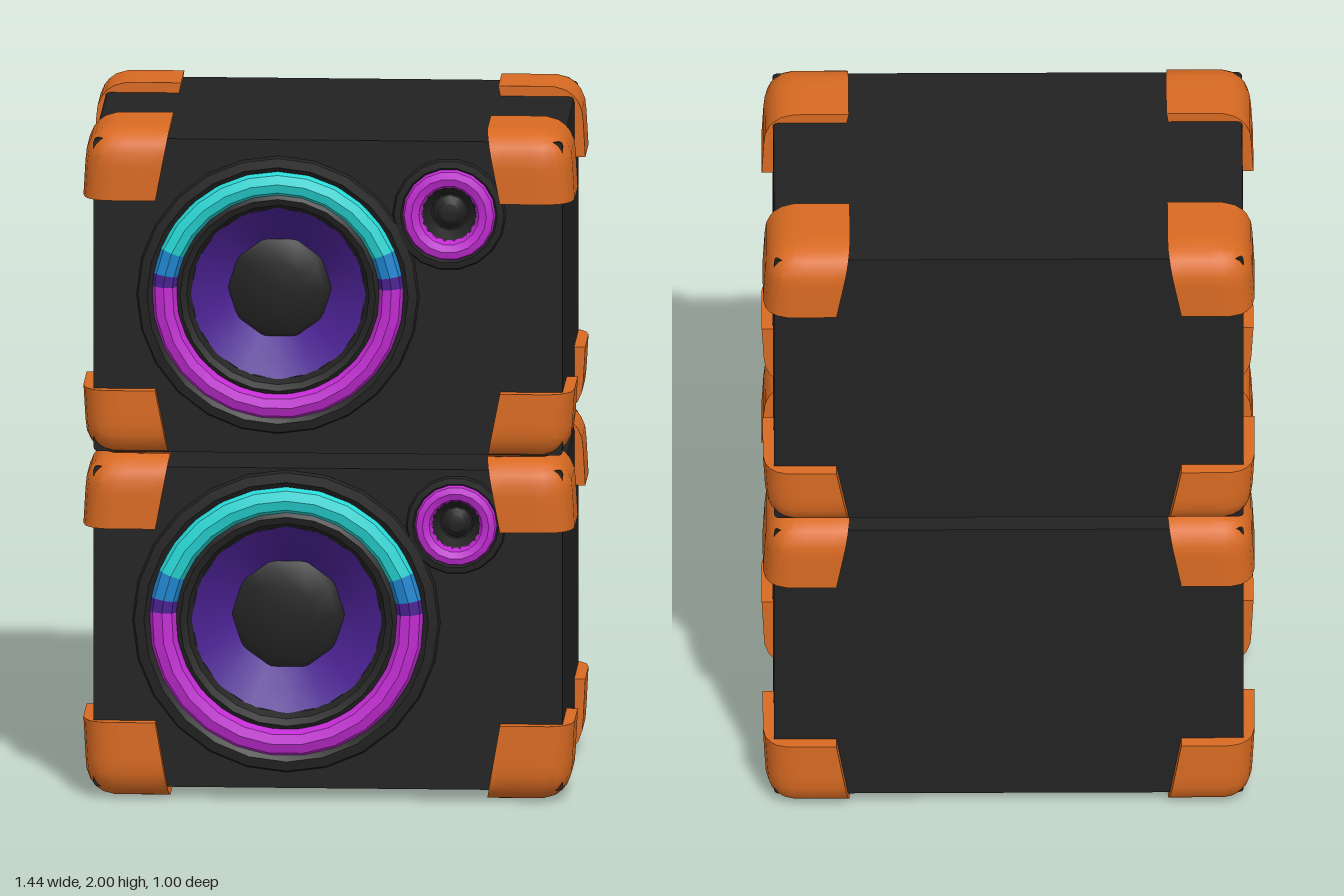
import * as THREE from 'three';
import { toCreasedNormals } from 'three/addons/utils/BufferGeometryUtils.js';

const mat = (name, color, side = THREE.FrontSide) =>
  new THREE.MeshStandardMaterial({ name, color, side });

export function createModel() {
  const black = mat('black', 0x222222, THREE.DoubleSide);
  const orange = mat('orange', 0xd86a22);
  const cyan = mat('cyan', 0x26d6d4);
  const blue = mat('blue', 0x1f86cf);
  const purple = mat('purple', 0x4a2191);
  const magenta = mat('magenta', 0xc12bd2);
  const FRONT = 0.465, BACK = -0.46, MID = 0.28;

  const add = (parent, name, geometry, material) => {
    const mesh = new THREE.Mesh(geometry, material);
    mesh.name = name;
    parent.add(mesh);
    return mesh;
  };

  // Surface turned around the z axis, profile runs [radius, z] from outside in.
  // Angles are in degrees, counted from +x.
  function turned(profile, segments = 24, from = 0, sweep = 360) {
    const g = new THREE.LatheGeometry(profile.map(([r, z]) => new THREE.Vector2(r, z)), segments,
      THREE.MathUtils.degToRad(from + 90), THREE.MathUtils.degToRad(sweep));
    return toCreasedNormals(g.rotateX(Math.PI / 2), 0.5);
  }

  // Cabinet outline with slightly softened edges
  function outline(w, h, r = 0.015) {
    const s = new THREE.Shape(), x = w / 2, y = h / 2;
    s.moveTo(-x + r, -y);
    s.lineTo(x - r, -y); s.quadraticCurveTo(x, -y, x, -y + r);
    s.lineTo(x, y - r); s.quadraticCurveTo(x, y, x - r, y);
    s.lineTo(-x + r, y); s.quadraticCurveTo(-x, y, -x, y - r);
    s.lineTo(-x, -y + r); s.quadraticCurveTo(-x, -y, -x + r, -y);
    return s;
  }

  // Corner guard: a block rounded only on its three outer sides, tapering inward
  function guardGeometry(sx, sy, sz, size) {
    const g = new THREE.BoxGeometry(...size, 6, 6, 6);
    const p = g.attributes.position, sign = [sx, sy, sz], r = 0.09;
    for (let i = 0; i < p.count; i++) {
      const q = [p.getX(i), p.getY(i), p.getZ(i)].map((v, k) => v * sign[k]);
      const core = size.map((s) => s / 2 - r);
      const d = q.map((v, k) => Math.max(v - core[k], 0));
      const len = Math.hypot(...d);
      if (len > 0) {
        const f = Math.max(...d) / len;
        d.forEach((v, k) => { if (v > 0) q[k] = core[k] + v * f; });
      }
      // the inner side edge leans outward away from the top or bottom
      const tx = 0.5 - q[0] / size[0], ty = 0.5 - q[1] / size[1];
      q[0] += 0.04 * tx * ty;
      q[0] -= 0.012 * (1 - tx) * (1 - ty);
      p.setXYZ(i, q[0] * sx, q[1] * sy, q[2] * sz);
    }
    return toCreasedNormals(g, 0.45);
  }

  function woofer({ x, y, R }) {
    const g = new THREE.Group();
    g.name = 'woofer';
    g.position.set(x, y, 0);
    add(g, 'wooferFrame', turned([[1.12 * R, FRONT - 0.005], [1.1 * R, 0.478], [1.03 * R, 0.482], [0.98 * R, 0.468]]), black);
    // light ring in coloured arcs
    const ring = [[R, 0.466], [0.97 * R, 0.488], [0.9 * R, 0.498], [0.83 * R, 0.49], [0.795 * R, 0.462]];
    [['lightRingTop', cyan, 22, 136, 10],
      ['lightRingBlueLeft', blue, 158, 12, 1], ['lightRingBlueRight', blue, 10, 12, 1],
      ['lightRingPurpleLeft', purple, 170, 6, 1], ['lightRingPurpleRight', purple, 4, 6, 1],
      ['lightRingBottom', magenta, 176, 188, 13],
    ].forEach(([name, m, from, sweep, n]) => add(g, name, turned(ring, n, from, sweep), m));
    add(g, 'surround', turned([[0.81 * R, 0.464], [0.77 * R, 0.474], [0.72 * R, 0.468], [0.685 * R, 0.445]]), black);
    add(g, 'cone', turned([[0.69 * R, 0.447], [0.55 * R, 0.405], [0.39 * R, 0.35]], 16), purple);
    add(g, 'dustCap', turned([[0.41 * R, 0.355], [0.36 * R, 0.368], [0.2 * R, 0.38], [0, 0.385]], 10), black);
    return g;
  }

  function tweeter({ x, y, R }) {
    const g = new THREE.Group();
    g.name = 'tweeter';
    g.position.set(x, y, 0);
    add(g, 'tweeterFrame', turned([[1.22 * R, FRONT - 0.005], [1.17 * R, 0.478], [1.03 * R, 0.48], [0.97 * R, 0.467]], 18), black);
    add(g, 'tweeterRing', turned([[R, 0.466], [0.95 * R, 0.486], [0.8 * R, 0.492], [0.64 * R, 0.484], [0.57 * R, 0.46]], 18), magenta);
    add(g, 'tweeterCone', turned([[0.58 * R, 0.462], [0.4 * R, 0.425], [0.36 * R, 0.425], [0.2 * R, 0.445], [0, 0.45]], 12), black);
    return g;
  }

  function speaker(name, c) {
    const g = new THREE.Group();
    g.name = name;
    const w = 1.375, h = c.top - c.bottom, cy = (c.top + c.bottom) / 2;
    // closed rear of the cabinet and front with openings for the drivers
    const rear = new THREE.ExtrudeGeometry(outline(w, h), { depth: MID - BACK, bevelEnabled: false, curveSegments: 3 });
    add(g, 'cabinetRear', rear.translate(0, cy, BACK), black);
    const shape = outline(w, h);
    [[c.woofer, 0.8], [c.tweeter, 0.58]].forEach(([d, k]) => {
      shape.holes.push(new THREE.Path().absarc(d.x, d.y - cy, d.R * k, 0, Math.PI * 2, true));
    });
    const front = new THREE.ExtrudeGeometry(shape, { depth: FRONT - MID, bevelEnabled: false, curveSegments: 12 });
    add(g, 'cabinetFront', front.translate(0, cy, MID), black);
    g.add(woofer(c.woofer), tweeter(c.tweeter));
    // eight corner guards
    for (const sx of [-1, 1]) for (const sy of [-1, 1]) for (const sz of [-1, 1]) {
      const size = [0.255, sy > 0 ? c.guardTop : c.guardBottom, 0.28];
      const m = add(g, 'cornerGuard', guardGeometry(sx, sy, sz, size), orange);
      const edge = sy > 0 ? c.high : c.low;
      m.position.set(sx * (0.72 - size[0] / 2), edge - sy * size[1] / 2, sz * (0.5 - size[2] / 2));
    }
    return g;
  }

  const model = new THREE.Group();
  model.name = 'speakerStack';
  model.add(
    speaker('lowerSpeaker', {
      bottom: 0.035, top: 0.99, low: 0, high: 1.022, guardBottom: 0.232, guardTop: 0.212,
      woofer: { x: -0.122, y: 0.533, R: 0.405 }, tweeter: { x: 0.375, y: 0.825, R: 0.122 },
    }),
    speaker('upperSpeaker', {
      bottom: 1.035, top: 1.97, low: 1.018, high: 2, guardBottom: 0.205, guardTop: 0.21,
      woofer: { x: -0.147, y: 1.507, R: 0.372 }, tweeter: { x: 0.355, y: 1.752, R: 0.138 },
    }),
  );
  return model;
}
